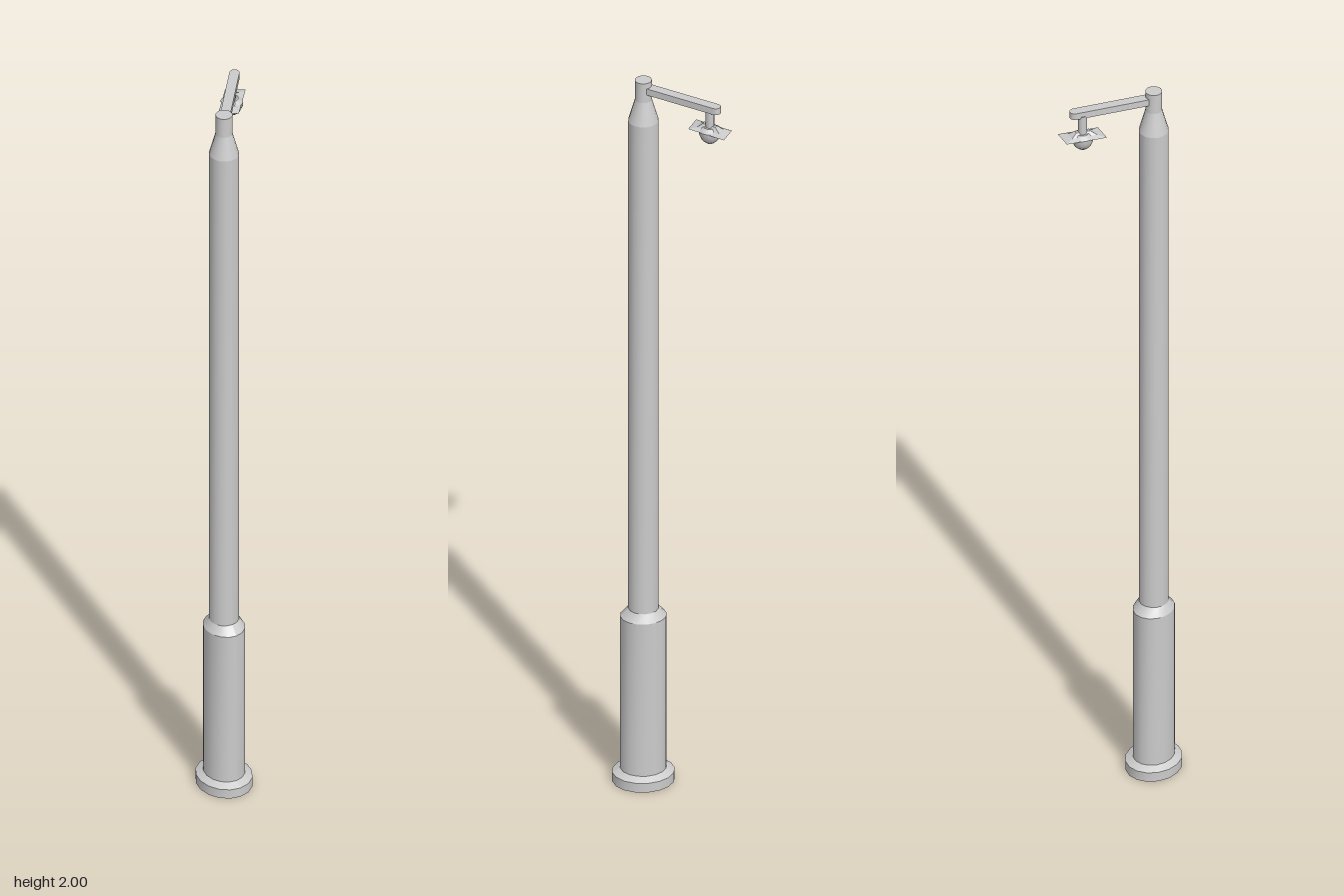
import * as THREE from 'three';

const SIDES = 16;
const POLE = [-0.052, 0.06];  // x, z of the column axis
const LAMP = [0.063, -0.088]; // x, z of the lamp axis
const material = new THREE.MeshStandardMaterial({ color: 0xcccccc });
const flat = new THREE.MeshStandardMaterial({ color: 0xcccccc, flatShading: true, side: THREE.DoubleSide });

function add(parent, name, geometry, mat = material) {
  const mesh = new THREE.Mesh(geometry, mat);
  mesh.name = name;
  parent.add(mesh);
  return mesh;
}

// Column section whose ends may be different ellipses: [y, radius x, radius z]
function section(parent, name, [y0, rx0, rz0], [y1, rx1, rz1], open = true) {
  const g = new THREE.CylinderGeometry(1, 1, 1, SIDES, 1, open);
  const p = g.attributes.position;
  for (let i = 0; i < p.count; i++) {
    const top = p.getY(i) > 0;
    p.setXYZ(i, p.getX(i) * (top ? rx1 : rx0), top ? y1 : y0, p.getZ(i) * (top ? rz1 : rz0));
  }
  g.computeVertexNormals();
  return add(parent, name, g);
}

// Shallow four-sided hood lofted from a skewed rim to a small raised top
function hoodGeometry() {
  const u = [0.034, -0.039], v = [0.0215, 0.0135];
  const corners = [[-1, -1], [-1, 1], [1, 1], [1, -1]];
  const rings = [[1, 1, 1.91], [0.62, 0.5, 1.915], [0.35, 0.2, 1.925]];
  const pos = [], index = [];
  for (const [su, sv, y] of rings) {
    for (const [a, b] of corners) {
      pos.push(a * su * u[0] + b * sv * v[0], y, a * su * u[1] + b * sv * v[1]);
    }
  }
  for (let r = 0; r < rings.length - 1; r++) {
    for (let i = 0; i < 4; i++) {
      const a = r * 4 + i, b = r * 4 + (i + 1) % 4;
      index.push(a, b, b + 4, a, b + 4, a + 4);
    }
  }
  index.push(8, 9, 10, 8, 10, 11);
  const g = new THREE.BufferGeometry();
  g.setAttribute('position', new THREE.Float32BufferAttribute(pos, 3));
  g.setIndex(index);
  g.computeVertexNormals();
  return g;
}

export function createModel() {
  const model = new THREE.Group();
  model.name = 'streetLamp';

  // Column: oval foot and lower shaft, round upper pole
  const column = new THREE.Group();
  column.name = 'column';
  column.position.set(POLE[0], 0, POLE[1]);
  model.add(column);
  const foot = [0.026, 0.068, 0.078], shaft = [0.036, 0.05, 0.058];
  const shaftTop = [0.47, 0.05, 0.058], poleBase = [0.492, 0.037, 0.038];
  const poleTop = [1.885, 0.037, 0.038], neck = [1.945, 0.021, 0.021];
  section(column, 'foot', [0, 0.068, 0.078], foot, false);
  section(column, 'footBevel', foot, shaft);
  section(column, 'lowerShaft', shaft, shaftTop);
  section(column, 'collar', shaftTop, poleBase);
  section(column, 'pole', poleBase, poleTop);
  section(column, 'shoulder', poleTop, neck);
  section(column, 'topPin', neck, [2, 0.021, 0.021], false);

  // Arm: flat bar with a rounded tip
  const tip = [0.078, -0.1];
  const dx = tip[0] - POLE[0], dz = tip[1] - POLE[1];
  const length = Math.hypot(dx, dz), half = 0.0125;
  const outline = new THREE.Shape();
  outline.moveTo(0, -half);
  outline.lineTo(length, -half);
  outline.absarc(length, 0, half, -Math.PI / 2, Math.PI / 2, false);
  outline.lineTo(0, half);
  outline.closePath();
  const bar = new THREE.ExtrudeGeometry(outline, { depth: 0.018, bevelEnabled: false, curveSegments: 6 });
  bar.rotateX(-Math.PI / 2);
  const arm = add(model, 'arm', bar);
  arm.position.set(POLE[0], 1.967, POLE[1]);
  arm.rotation.y = Math.atan2(-dz, dx);

  // Lamp: stem, hood and bulb hanging below
  const lamp = new THREE.Group();
  lamp.name = 'lamp';
  lamp.position.set(LAMP[0], 0, LAMP[1]);
  model.add(lamp);
  add(lamp, 'stem', new THREE.CylinderGeometry(0.011, 0.011, 0.055, 10)).position.y = 1.9445;
  add(lamp, 'hood', hoodGeometry(), flat);
  const bulb = [[0, 1.873], [0.011, 1.876], [0.021, 1.885], [0.027, 1.899], [0.028, 1.911]];
  add(lamp, 'bulb', new THREE.LatheGeometry(bulb.map(([r, y]) => new THREE.Vector2(r, y)), 14));
  const cap = add(lamp, 'bulbCap', new THREE.CylinderGeometry(0.016, 0.028, 0.009, 14));
  cap.position.y = 1.9155;
  return model;
}
